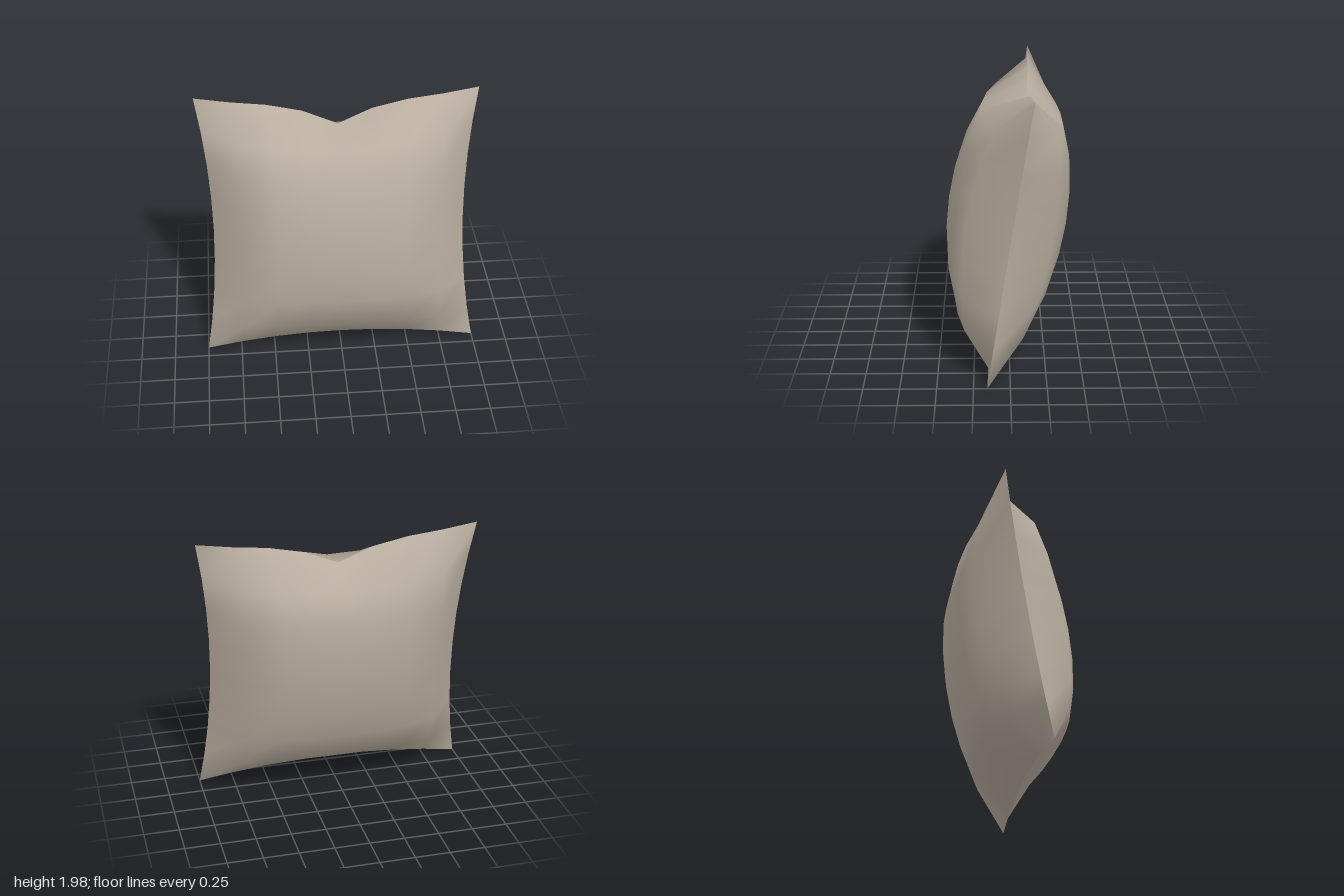
import * as THREE from 'three';

const TILT = 0.157;     // backward lean
const PINCH = 0.09;     // how far the seams pull in between the corners
const SEGMENTS = 8;

// One puffed half of the cushion; side is +1 for the front, -1 for the back.
function cushionHalf(side, thickness) {
  const geo = new THREE.PlaneGeometry(2, 2, SEGMENTS, SEGMENTS);
  if (side < 0) geo.rotateY(Math.PI);
  const pos = geo.attributes.position;
  for (let i = 0; i < pos.count; i++) {
    const u = pos.getX(i), v = pos.getY(i);
    const bulge = Math.max(0, (1 - u * u) * (1 - v * v));
    // chopped dent in the middle of the top seam
    const dent = 0.14 * Math.exp(-((u / 0.22) ** 2)) * Math.max(0, v) ** 8;
    pos.setXYZ(i,
      u * (1 - PINCH * (1 - v * v)),
      v * (1 - PINCH * (1 - u * u)) - dent,
      side * thickness * Math.pow(bulge, 0.45) * (1 + 0.025 * side * v));
  }
  geo.computeVertexNormals();
  return geo;
}

export function createModel() {
  const model = new THREE.Group();
  model.name = 'throwPillow';
  const fabric = new THREE.MeshStandardMaterial({ color: 0xb8ad9f });

  // Leaning cushion, standing on its bottom corners
  const cushion = new THREE.Group();
  cushion.name = 'cushion';
  for (const [name, side, thickness] of [['frontCover', 1, 0.438], ['backCover', -1, 0.423]]) {
    const cover = new THREE.Mesh(cushionHalf(side, thickness), fabric);
    cover.name = name;
    cushion.add(cover);
  }
  cushion.rotation.x = -TILT;
  cushion.position.y = Math.cos(TILT);
  model.add(cushion);
  return model;
}
